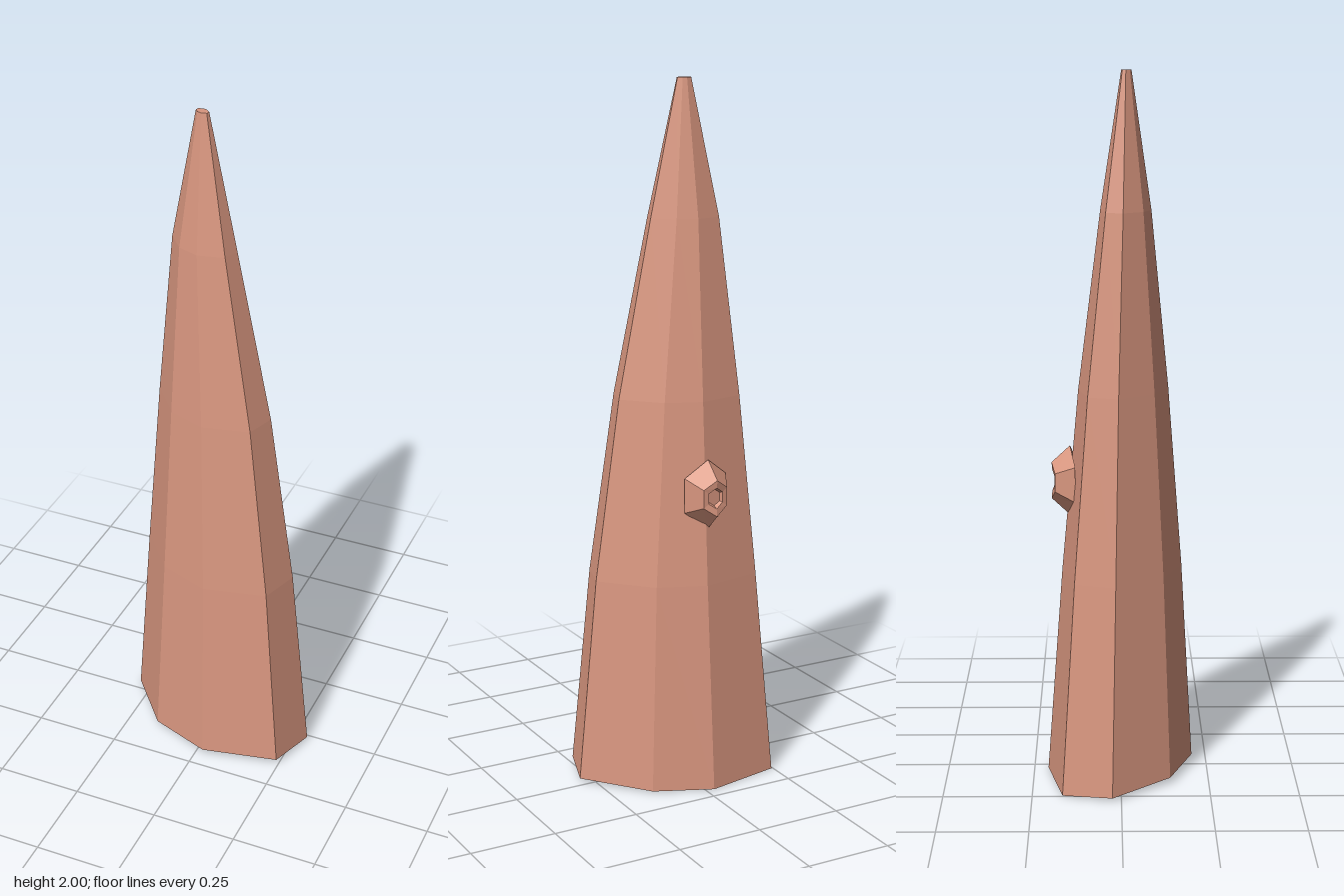
import * as THREE from 'three';

// Faceted skin through matching rings of points, with an end cap
function loft(rings) {
  const pos = [];
  const tri = (...pts) => pts.forEach((p) => pos.push(...p));
  const n = rings[0].length;
  for (let k = 0; k < rings.length - 1; k++) {
    const a = rings[k], b = rings[k + 1];
    for (let i = 0; i < n; i++) {
      const j = (i + 1) % n;
      tri(a[i], b[i], b[j]);
      tri(a[i], b[j], a[j]);
    }
  }
  const end = rings[rings.length - 1];
  const mid = [0, 1, 2].map((c) => end.reduce((s, p) => s + p[c], 0) / n);
  for (let i = 0; i < n; i++) tri(mid, end[(i + 1) % n], end[i]);
  const g = new THREE.BufferGeometry();
  g.setAttribute('position', new THREE.Float32BufferAttribute(pos, 3));
  g.computeVertexNormals(); // unshared corners give flat facets
  return g;
}

export function createModel() {
  const group = new THREE.Group();
  group.name = 'taperedTrunk';
  const bark = new THREE.MeshStandardMaterial({ color: 0xd8967f, side: THREE.DoubleSide });
  bark.name = 'bark';

  // Trunk: one eight-sided outline, shrunk and shifted towards the tip; open below
  const outline = [
    [-0.025, -0.21], [0.14, -0.145], [0.29, 0.02], [0.245, 0.16],
    [0.025, 0.208], [-0.155, 0.14], [-0.29, -0.025], [-0.245, -0.165],
  ];
  const levels = [ // y, centre x, centre z, scale
    [0.01, 0, 0, 1],
    [0.6, -0.005, 0.005, 0.815],
    [1.12, -0.02, 0.008, 0.605],
    [1.62, -0.045, 0.014, 0.338],
    [2, -0.048, 0.015, 0.067],
  ];
  const trunkRings = levels.map(([y, cx, cz, s]) =>
    outline.map(([x, z]) => [cx + x * s, y, cz + z * s]));
  trunkRings[0].forEach((p) => { p[1] += 0.05 * p[2]; }); // slightly uneven foot
  trunkRings[0][7][1] = 0;
  const trunk = new THREE.Mesh(loft(trunkRings), bark);
  trunk.name = 'trunk';
  group.add(trunk);

  // Broken branch knot on the back: hexagonal rings with a hollowed end
  const knotLevels = [ // radius x, radius y, z at the middle, z offset at the sides
    [0.076, 0.1, -0.143, 0.018],
    [0.043, 0.052, -0.195, 0.012],
    [0.025, 0.03, -0.193, 0.008],
    [0.02, 0.024, -0.178, 0],
  ];
  const knotRings = knotLevels.map(([rx, ry, z, dz]) =>
    Array.from({ length: 6 }, (_, i) => {
      const a = Math.PI / 6 + (i * Math.PI) / 3;
      return [-0.038 + rx * Math.cos(a), 0.86 + ry * Math.sin(a), z + dz * Math.abs(Math.cos(a))];
    }));
  const knot = new THREE.Mesh(loft(knotRings), bark);
  knot.name = 'branchKnot';
  group.add(knot);

  return group;
}
